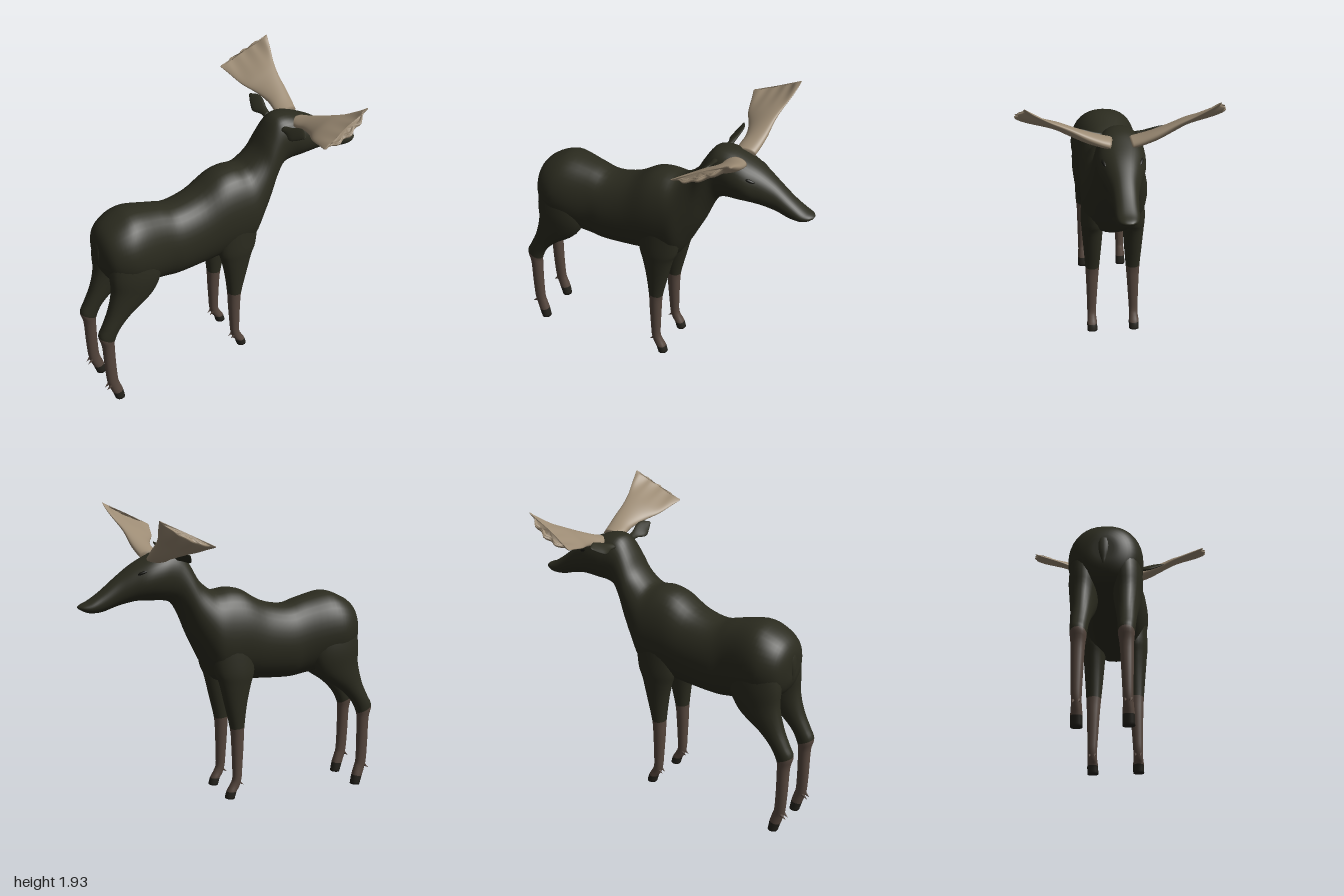
import * as THREE from 'three';

const mat = (name, color) => Object.assign(new THREE.MeshStandardMaterial({ color }), { name });

// Smooth loft. Each section is [ax, ay, bx, by, z, w]: a ring whose one axis runs
// from b to a, and whose other axis is the vector v with half width w.
// cuts lists the sections at which the next material begins.
function loft(sections, { steps = 4, sides = 24, power = 0.85, v = new THREE.Vector3(0, 0, 1), cuts = [], shape = null } = {}) {
  const curve = (pick) => new THREE.CatmullRomCurve3(sections.map(pick), false, 'catmullrom', 0.5);
  const A = curve((s) => new THREE.Vector3(s[0], s[1], s[4]));
  const B = curve((s) => new THREE.Vector3(s[2], s[3], s[5]));
  const rows = (sections.length - 1) * steps;
  const pos = [], index = [], centres = [];
  let axis;
  for (let i = 0; i <= rows; i++) {
    const a = A.getPoint(i / rows), q = B.getPoint(i / rows);
    const b = new THREE.Vector3(q.x, q.y, a.z);
    const c = a.clone().add(b).multiplyScalar(0.5);
    const u = a.clone().sub(c);
    if (i === rows >> 1) axis = u.clone().cross(v);
    centres.push(c);
    for (let j = 0; j < sides; j++) {
      const t = (j / sides) * Math.PI * 2, s = Math.sin(t);
      const k = Math.sign(s) * Math.pow(Math.abs(s), power) * q.z;
      const p = c.clone().addScaledVector(u, Math.cos(t)).addScaledVector(v, k);
      if (shape) shape(p);
      pos.push(p.x, p.y, p.z);
    }
  }
  const flip = axis.dot(centres[rows].clone().sub(centres[0])) < 0;
  const tri = (a, b, c) => (flip ? index.push(a, c, b) : index.push(a, b, c));
  const first = pos.length / 3;
  pos.push(...centres[0].toArray(), ...centres[rows].toArray());
  const geo = new THREE.BufferGeometry();
  let start = 0, m = 0;
  for (let j = 0; j < sides; j++) tri(first, (j + 1) % sides, j);
  for (let i = 0; i < rows; i++) {
    if (cuts.includes(i / steps)) {
      geo.addGroup(start, index.length - start, m++);
      start = index.length;
    }
    for (let j = 0; j < sides; j++) {
      const a = i * sides + j, b = i * sides + ((j + 1) % sides);
      tri(a, b, a + sides);
      tri(b, b + sides, a + sides);
    }
  }
  for (let j = 0; j < sides; j++) tri(first + 1, rows * sides + j, rows * sides + ((j + 1) % sides));
  geo.addGroup(start, index.length - start, m);
  geo.setAttribute('position', new THREE.Float32BufferAttribute(pos, 3));
  geo.setIndex(index);
  geo.computeVertexNormals();
  return geo;
}

export function createModel() {
  const coat = mat('dark coat', 0x2b2b1f);
  const shin = mat('brown shin', 0x56473e);
  const horn = mat('pale antler', 0x9d8c75);
  const hoof = mat('dark hoof', 0x24221c);
  const eyeDark = mat('eye', 0x15150f);

  const model = new THREE.Group();
  const add = (parent, name, geo, material) => {
    const mesh = new THREE.Mesh(geo, material);
    mesh.name = name;
    parent.add(mesh);
    return mesh;
  };

  // Rump, trunk, neck and head: top x, y, bottom x, y, half width
  const body = [
    [-0.905, 1.13, -0.905, 1.08, 0.02], [-0.9, 1.2, -0.9, 1.0, 0.1],
    [-0.86, 1.27, -0.86, 0.92, 0.175], [-0.77, 1.325, -0.77, 0.87, 0.22],
    [-0.67, 1.35, -0.66, 0.83, 0.22], [-0.5, 1.315, -0.5, 0.8, 0.192],
    [-0.38, 1.285, -0.4, 0.79, 0.195], [-0.22, 1.32, -0.22, 0.8, 0.2],
    [-0.08, 1.4, -0.08, 0.81, 0.208], [0.02, 1.42, 0.08, 0.81, 0.212],
    [0.11, 1.41, 0.15, 0.87, 0.21], [0.17, 1.44, 0.22, 1.0, 0.188],
    [0.23, 1.5, 0.28, 1.12, 0.165], [0.28, 1.59, 0.335, 1.25, 0.147],
    [0.33, 1.665, 0.39, 1.34, 0.135], [0.38, 1.695, 0.45, 1.368, 0.138],
    [0.46, 1.69, 0.53, 1.375, 0.147], [0.55, 1.655, 0.62, 1.38, 0.14],
    [0.65, 1.605, 0.69, 1.37, 0.11], [0.75, 1.535, 0.77, 1.35, 0.082],
    [0.85, 1.455, 0.85, 1.325, 0.072], [0.93, 1.4, 0.92, 1.322, 0.067],
    [0.98, 1.378, 0.965, 1.335, 0.05], [1.0, 1.365, 0.995, 1.352, 0.02],
  ].map(([ax, ay, bx, by, w]) => [ax, ay, bx, by, 0, w]);
  add(model, 'body', loft(body, { sides: 36 }), coat);

  // Short tail lying against the rump
  add(model, 'tail', loft([
    [-0.85, 1.22, -0.85, 1.17, 0, 0.02], [-0.9, 1.19, -0.88, 1.15, 0, 0.03],
    [-0.915, 1.1, -0.885, 1.09, 0, 0.03], [-0.905, 1.01, -0.89, 1.01, 0, 0.01],
  ], { sides: 12 }), coat);

  const hindLeg = [
    [-0.86, 1.2, -0.57, 1.15, 0.11, 0.09], [-0.885, 1.0, -0.54, 0.95, 0.125, 0.095],
    [-0.885, 0.87, -0.61, 0.8, 0.13, 0.08], [-0.92, 0.73, -0.76, 0.69, 0.132, 0.062],
    [-0.965, 0.63, -0.85, 0.6, 0.135, 0.053], [-0.998, 0.56, -0.895, 0.51, 0.135, 0.048],
    [-0.98, 0.47, -0.9, 0.45, 0.137, 0.04], [-0.975, 0.3, -0.9, 0.3, 0.14, 0.034],
    [-0.968, 0.17, -0.895, 0.17, 0.142, 0.03], [-0.955, 0.11, -0.885, 0.13, 0.142, 0.03],
    [-0.938, 0.06, -0.868, 0.07, 0.143, 0.034], [-0.92, 0, -0.857, 0.005, 0.143, 0.034],
  ];
  const frontLeg = [
    [-0.12, 1.1, 0.18, 1.1, 0.12, 0.08], [-0.12, 0.9, 0.15, 0.9, 0.132, 0.078],
    [-0.095, 0.8, 0.118, 0.82, 0.135, 0.07], [-0.07, 0.68, 0.083, 0.68, 0.135, 0.06],
    [-0.05, 0.52, 0.043, 0.51, 0.136, 0.047], [-0.045, 0.4, 0.035, 0.4, 0.138, 0.04],
    [-0.036, 0.25, 0.03, 0.25, 0.141, 0.033], [-0.03, 0.17, 0.03, 0.17, 0.143, 0.03],
    [-0.015, 0.115, 0.045, 0.13, 0.143, 0.03], [0.005, 0.085, 0.07, 0.085, 0.143, 0.034],
    [0.02, 0.035, 0.083, 0.04, 0.143, 0.034],
  ];

  // Palmate antler: cupped blade with a scalloped outer edge
  const blade = new THREE.Vector3(-0.42, 0.86, -0.27).normalize();
  const scallop = (p) => {
    const s = THREE.MathUtils.clamp((p.x - 0.495) / 0.165, -1, 1);
    const f = THREE.MathUtils.smoothstep(p.z, 0.35, 0.56);
    p.z += f * (0.03 * (1 - s * s) - 0.02 * s + 0.011 * Math.cos(s * 12.5));
    p.addScaledVector(blade, -0.025 * f * (1 - s * s));
  };
  const antler = [
    [0.45, 1.635, 0.57, 1.65, 0.06, 0.035], [0.445, 1.645, 0.58, 1.675, 0.12, 0.035],
    [0.45, 1.665, 0.59, 1.715, 0.2, 0.034], [0.425, 1.69, 0.595, 1.77, 0.3, 0.028],
    [0.375, 1.72, 0.615, 1.825, 0.4, 0.022], [0.345, 1.755, 0.645, 1.89, 0.5, 0.018],
    [0.33, 1.77, 0.66, 1.93, 0.555, 0.014], [0.335, 1.778, 0.656, 1.933, 0.565, 0.005],
  ];
  const ear = [
    [0.36, 1.63, 0.4, 1.65, 0.1, 0.016], [0.36, 1.63, 0.405, 1.665, 0.15, 0.014],
    [0.342, 1.625, 0.418, 1.69, 0.21, 0.013], [0.355, 1.645, 0.415, 1.7, 0.26, 0.01],
    [0.378, 1.68, 0.39, 1.69, 0.315, 0.004],
  ];

  // Paired parts, made once and mirrored across z
  const geos = {
    hindLeg: loft(hindLeg, { cuts: [5, 10] }),
    frontLeg: loft(frontLeg, { cuts: [4, 9] }),
    antler: loft(antler, { sides: 64, steps: 5, power: 1, v: blade, shape: scallop }),
    ear: loft(ear, { sides: 14, power: 1, v: new THREE.Vector3(0.6, -0.6, 0.4).normalize() }),
    dewclaw: new THREE.ConeGeometry(0.012, 0.045, 8),
    eye: new THREE.SphereGeometry(1, 16, 10),
  };
  for (const side of [1, -1]) {
    const half = new THREE.Group();
    half.name = side > 0 ? 'leftParts' : 'rightParts';
    half.scale.z = side;
    model.add(half);
    add(half, 'hindLeg', geos.hindLeg, [coat, shin, hoof]);
    add(half, 'frontLeg', geos.frontLeg, [coat, shin, hoof]);
    add(half, 'antler', geos.antler, horn);
    add(half, 'ear', geos.ear, coat);
    for (const [x, y] of [[-0.966, 0.125], [-0.024, 0.135]]) {
      for (const dz of [-0.015, 0.015]) {
        const claw = add(half, 'dewclaw', geos.dewclaw, shin);
        claw.position.set(x, y, 0.142 + dz);
        claw.rotation.z = 2.2;
      }
    }
    const eye = add(half, 'eye', geos.eye, eyeDark);
    eye.position.set(0.615, 1.565, 0.108);
    eye.scale.set(0.032, 0.01, 0.012);
    eye.rotation.set(0, 0.3, -0.35);
  }
  return model;
}
